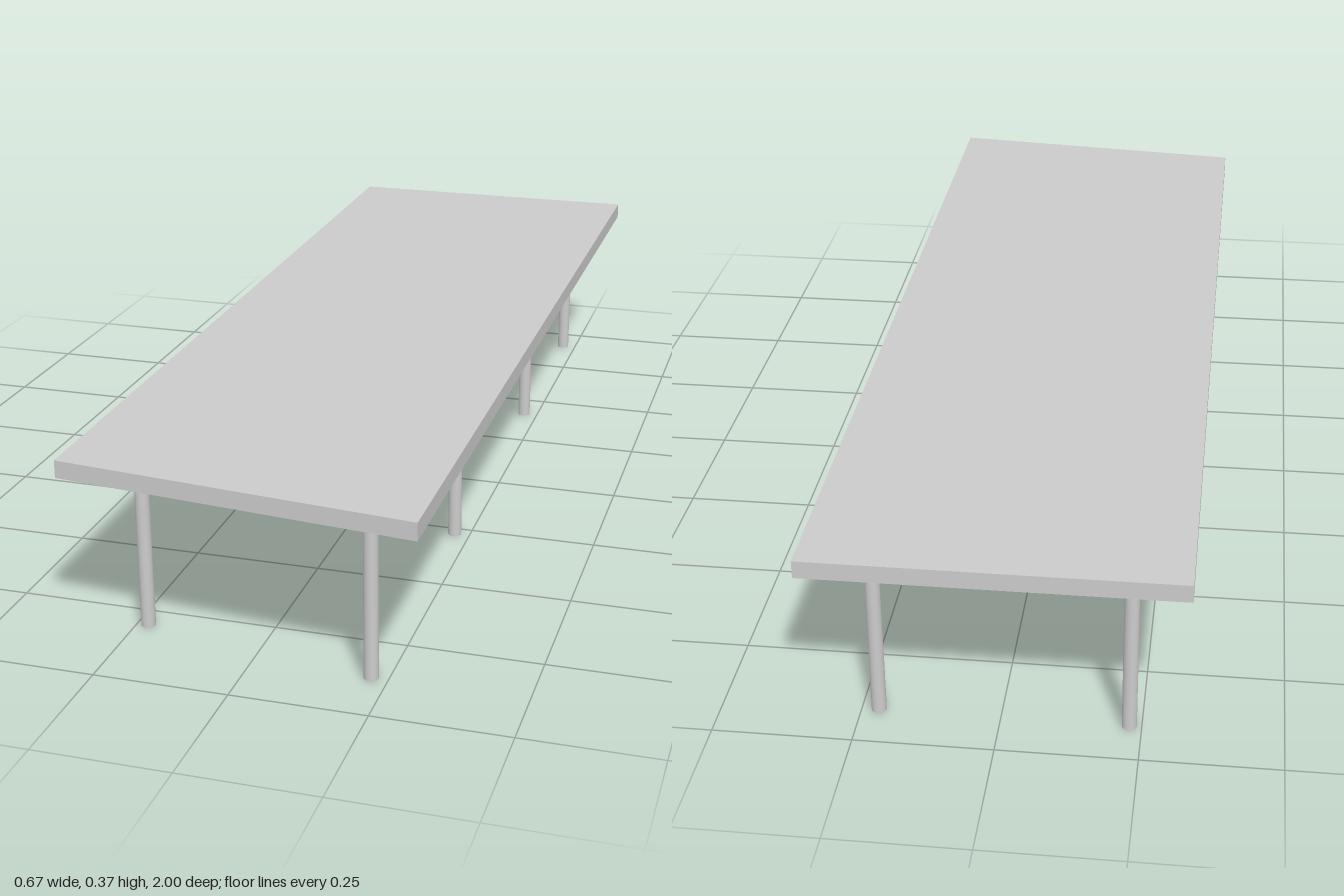
import * as THREE from 'three';

export function createModel() {
  const group = new THREE.Group();
  const material = new THREE.MeshStandardMaterial({ color: 0xcccccc });
  const legHeight = 0.333;
  const topThickness = 0.033;

  // Table top: long slab with a slanted front edge (shape y becomes -z)
  const outline = new THREE.Shape([
    new THREE.Vector2(-0.333, -0.927),
    new THREE.Vector2(0.333, -1),
    new THREE.Vector2(0.333, 1),
    new THREE.Vector2(-0.333, 1),
  ]);
  const topGeometry = new THREE.ExtrudeGeometry(outline, { depth: topThickness, bevelEnabled: false });
  topGeometry.rotateX(-Math.PI / 2);
  const top = new THREE.Mesh(topGeometry, material);
  top.name = 'tableTop';
  top.position.y = legHeight;
  group.add(top);

  // Round legs in two rows; the front pair follows the slanted edge
  const legGeometry = new THREE.CylinderGeometry(0.0133, 0.0133, legHeight, 32);
  const rows = [
    { side: 'left', x: 0.219, z: [0.877, 0.273, -0.412, -0.909] },
    { side: 'right', x: -0.228, z: [0.803, 0.273, -0.412, -0.909] },
  ];
  for (const row of rows) {
    row.z.forEach((z, i) => {
      const leg = new THREE.Mesh(legGeometry, material);
      leg.name = `${row.side}Leg${i + 1}`;
      leg.position.set(row.x, legHeight / 2, z);
      group.add(leg);
    });
  }

  return group;
}
